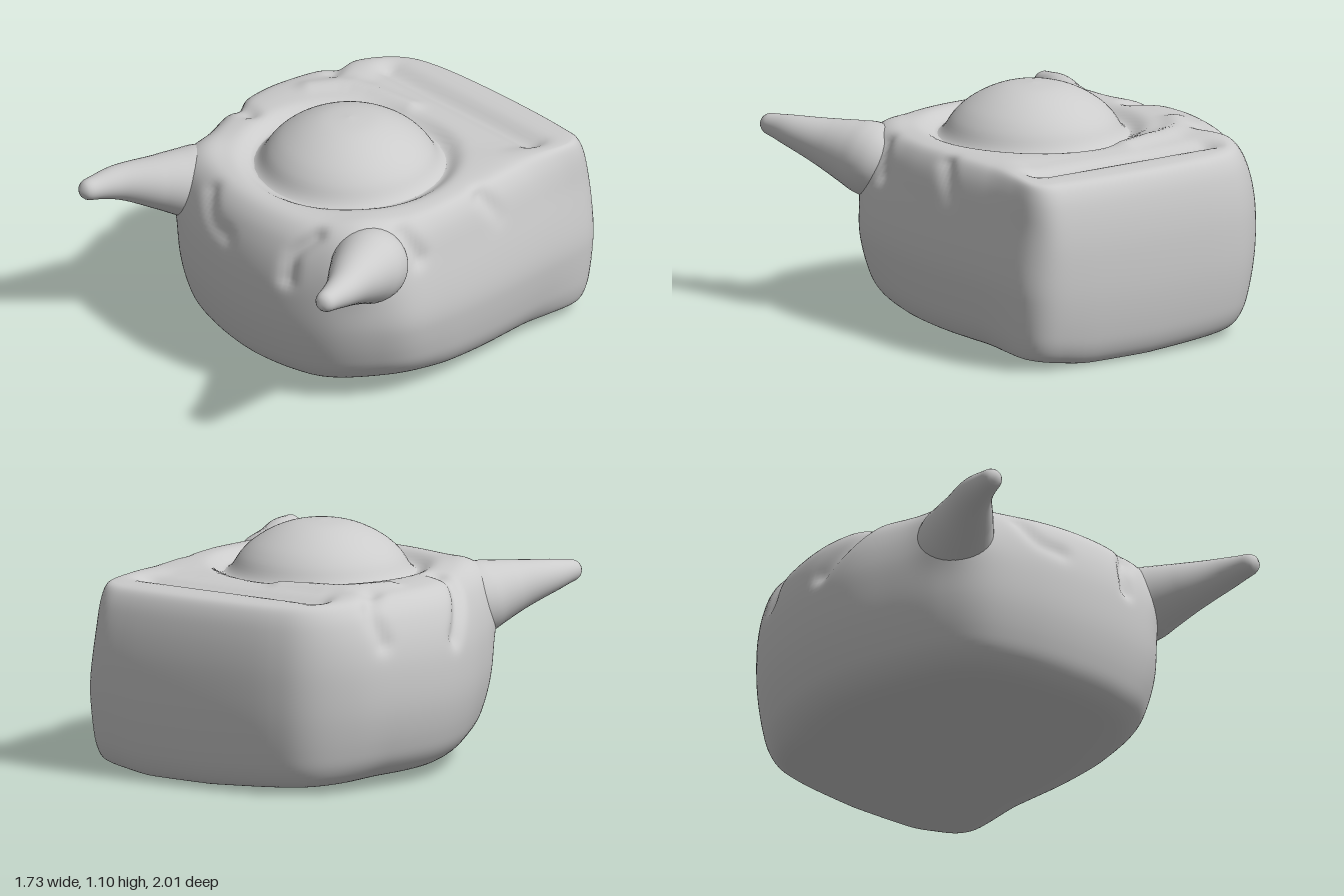
import * as THREE from 'three';
import { mergeVertices } from 'three/addons/utils/BufferGeometryUtils.js';

const V = (x, y, z) => new THREE.Vector3(x, y, z);
const sstep = THREE.MathUtils.smoothstep;
const bell = (d, w) => Math.exp(-((d / w) ** 2));

// Plan outline at mid height, as [x, z], from the front round by +x
const outline = new THREE.CatmullRomCurve3([
  [0.03, 0.72], [0.3, 0.69], [0.5, 0.61], [0.65, 0.47], [0.735, 0.33], [0.755, 0.1],
  [0.725, -0.5], [0.705, -0.75], [0.67, -0.9], [0.6, -0.97], [0.42, -1.0],
  [-0.38, -0.98], [-0.56, -0.92], [-0.72, -0.75], [-0.81, -0.53],
  [-0.865, -0.22], [-0.84, 0], [-0.77, 0.2], [-0.64, 0.46], [-0.5, 0.6], [-0.25, 0.69],
].map(([x, z]) => V(x, 0, z)), true, 'centripetal');

// Section from bottom centre, up the wall, to top centre: [scale of outline, height 0..1]
const section = new THREE.CatmullRomCurve3([
  [0, 0], [0.4, 0], [0.78, 0.005], [0.855, 0.035], [0.915, 0.1], [0.955, 0.2], [0.99, 0.36],
  [1, 0.52], [0.99, 0.68], [0.955, 0.82], [0.905, 0.92], [0.84, 0.98], [0.75, 1], [0.4, 1], [0, 1],
].map(([s, t]) => V(s, t, 0)), false, 'centripetal');

// Folds pressed in (negative) or raised (positive): height, width, points
const fold = (h, w, ...ends) => {
  const pts = new THREE.CatmullRomCurve3(ends.map((q) => V(...q))).getPoints(ends.length > 2 ? 6 : 1);
  return { h, w, lines: pts.slice(1).map((q, i) => new THREE.Line3(pts[i], q)) };
};

function makeFolds() {
  // slot across the back of the top
  const slot = [
    fold(-0.05, 0.06, [-0.46, 0.87, -0.705], [0.46, 0.87, -0.705]),
    fold(-0.015, 0.08, [-0.42, 0.89, -0.6], [0.42, 0.89, -0.6]),
  ];
  // creases over the front edge
  const front = [
    fold(-0.035, 0.04, [0.3, 0.63, 0.7], [0.31, 0.75, 0.66], [0.38, 0.85, 0.58]),
    fold(-0.02, 0.045, [-0.1, 0.7, 0.71], [-0.22, 0.73, 0.69], [-0.29, 0.83, 0.61]),
  ];
  // creases over the two side edges
  const sides = [
    fold(-0.03, 0.045, [-0.84, 0.66, -0.14], [-0.76, 0.82, 0], [-0.6, 0.88, 0.06]),
    fold(-0.025, 0.045, [-0.77, 0.7, -0.6], [-0.69, 0.84, -0.6], [-0.61, 0.88, -0.48]),
    fold(0.018, 0.05, [-0.58, 0.89, -0.3], [-0.46, 0.89, -0.46], [-0.15, 0.89, -0.53]),
    fold(-0.025, 0.045, [0.7, 0.72, 0.22], [0.64, 0.85, 0.28]),
    fold(-0.025, 0.045, [0.73, 0.74, -0.3], [0.65, 0.86, -0.22]),
  ];
  // swellings under the horns
  const swell = [1, -1].map((m) => fold(0.045, 0.14, [0.56 * m, 0.8, 0.45], [0.61 * m, 0.72, 0.51]));
  return [...slot, ...front, ...sides, ...swell];
}

function bodyGeometry() {
  const cols = 230, rows = 120, pos = [], index = [];
  const ring = outline.getSpacedPoints(cols);
  section.getSpacedPoints(rows).forEach(({ x: s, y: t }) => {
    for (let i = 0; i < cols; i++) {
      const o = ring[i];
      // the back and the +x wall are squarer than the rest
      const k = 1 - 0.5 * sstep(-o.z, 0.55, 0.95) - 0.25 * sstep(o.x, 0.5, 0.74) * sstep(-o.z, -0.4, 0);
      const f = s < 0.75 ? s * (1 - 0.25 * k) / 0.75 : 1 - (1 - s) * k;
      const lean = 1 - 0.05 * sstep(o.x, 0.45, 0.7) * sstep(t, 0.35, 0.8);
      const x = o.x * f * lean, z = -0.1 + (o.z + 0.1) * f;
      const low = 0.06 * sstep(z, -0.3, 0.65) + 0.055 * Math.max(0, -x) + 0.055 * sstep(x, 0.3, 0.75);
      const high = 0.895 - 0.02 * sstep(-z, 0.55, 0.95) - 0.045 * bell(Math.hypot(x, z) - 0.44, 0.055);
      pos.push(x, low + (high - low) * t, z);
    }
  });
  for (let j = 0; j < rows; j++) for (let i = 0; i < cols; i++) {
    const a = j * cols + i, b = j * cols + (i + 1) % cols;
    if (j > 0) index.push(a, b, b + cols);
    if (j < rows - 1) index.push(a, b + cols, a + cols);
  }
  const g = new THREE.BufferGeometry();
  g.setAttribute('position', new THREE.Float32BufferAttribute(pos, 3));
  g.setIndex(index);
  g.computeVertexNormals();

  // Press the folds into the surface along its normals
  const p = g.attributes.position, n = g.attributes.normal, folds = makeFolds();
  const v = V(0, 0, 0), c = V(0, 0, 0), nv = V(0, 0, 0);
  for (let i = 0; i < p.count; i++) {
    v.fromBufferAttribute(p, i);
    if (v.y < 0.4) continue;
    let move = 0;
    for (const { h, w, lines } of folds) {
      const d = Math.min(...lines.map((l) => l.closestPointToPoint(v, true, c).distanceTo(v)));
      move += h * bell(d, w);
    }
    v.addScaledVector(nv.fromBufferAttribute(n, i), move);
    p.setXYZ(i, v.x, v.y, v.z);
  }
  g.computeVertexNormals();
  return g;
}

// Tapered horn: a tube whose rings are scaled along its length, its root buried in the body
function hornGeometry(points) {
  const path = new THREE.CatmullRomCurve3(points.map((q) => V(...q)));
  const radii = new THREE.SplineCurve(
    [0.06, 0.13, 0.17, 0.172, 0.152, 0.13, 0.109, 0.09, 0.073, 0.056, 0.045]
      .map((r, i) => new THREE.Vector2(i / 10, r)));
  const rows = 60, sides = 36;
  let g = new THREE.TubeGeometry(path, rows, 1, sides, false);
  const p = g.attributes.position, v = V(0, 0, 0);
  for (let i = 0; i < p.count; i++) {
    const t = Math.floor(i / (sides + 1)) / rows;
    const round = Math.sqrt(Math.max(0, 1 - (Math.max(0, t - 0.94) / 0.06) ** 2));
    const c = path.getPointAt(t);
    v.fromBufferAttribute(p, i).sub(c).multiplyScalar(radii.getPoint(t).y * round).add(c);
    p.setXYZ(i, v.x, v.y, v.z);
  }
  g.deleteAttribute('uv');
  g.deleteAttribute('normal');
  g = mergeVertices(g, 1e-5);
  g.computeVertexNormals();
  return g;
}

export function createModel() {
  const group = new THREE.Group();
  const material = new THREE.MeshStandardMaterial({ color: 0xcccccc, roughness: 0.8 });
  const add = (name, geometry) => {
    const mesh = new THREE.Mesh(geometry, material);
    mesh.name = name;
    group.add(mesh);
  };

  add('body', bodyGeometry());

  // Shallow dome flaring into the round hollow of the top
  const profile = new THREE.SplineCurve([
    [0.48, 0.84], [0.44, 0.853], [0.41, 0.88], [0.37, 0.94], [0.31, 0.997],
    [0.22, 1.05], [0.12, 1.083], [0, 1.094],
  ].map(([r, y]) => new THREE.Vector2(r, y)));
  const points = profile.getPoints(28);
  points[28].x = 0;
  add('dome', new THREE.LatheGeometry(points, 64));

  add('leftHorn', hornGeometry([[0.5, 0.67, 0.25], [0.595, 0.725, 0.45], [0.68, 0.765, 0.62], [0.775, 0.805, 0.8], [0.83, 0.825, 0.98]]));
  add('rightHorn', hornGeometry([[-0.46, 0.67, 0.25], [-0.535, 0.71, 0.45], [-0.615, 0.745, 0.62], [-0.705, 0.775, 0.8], [-0.745, 0.785, 1.0]]));
  return group;
}
